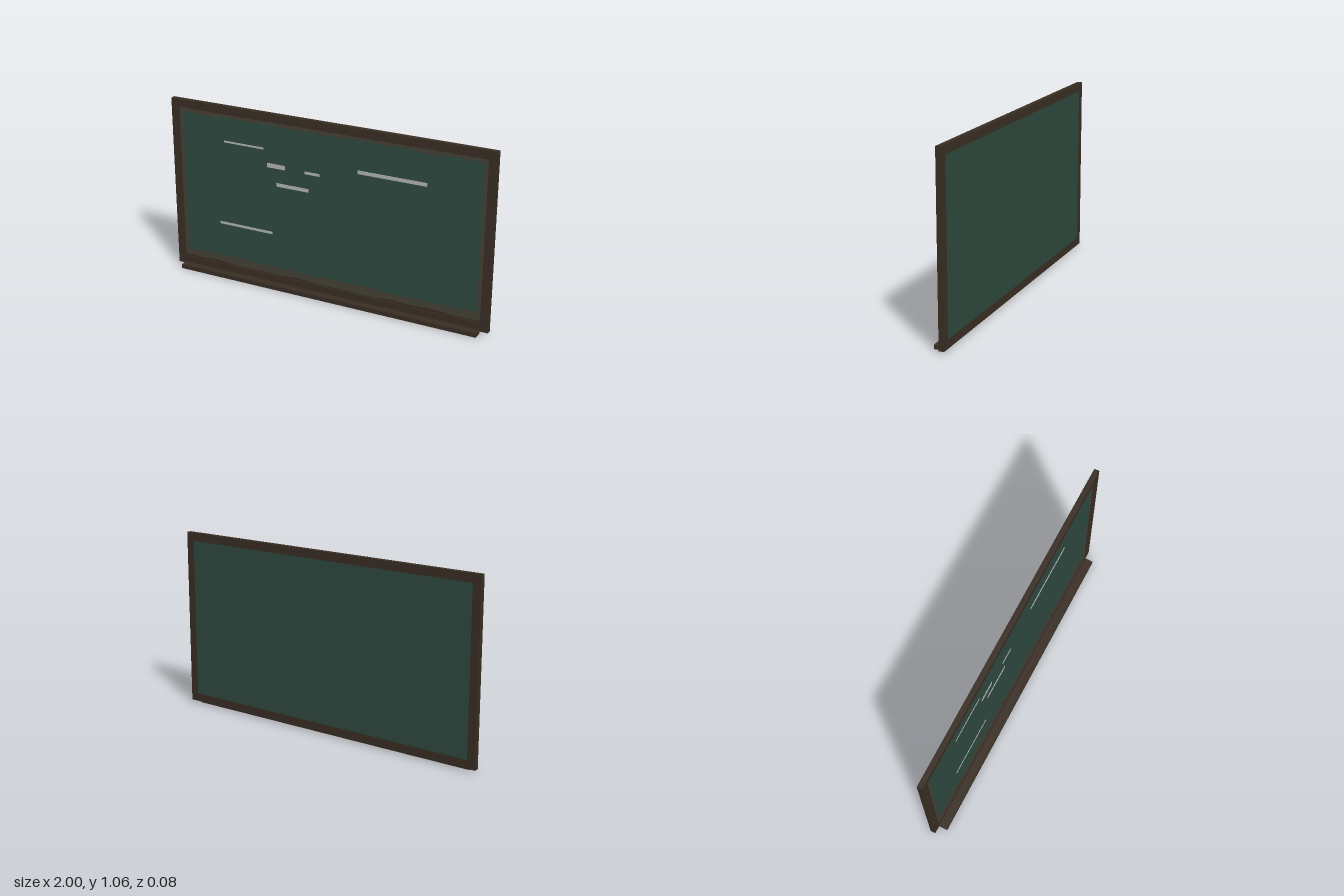
import * as THREE from 'three';

const mat = (name, color) => {
  const m = new THREE.MeshStandardMaterial({ color });
  m.name = name;
  return m;
};

// Closed outline of a rectangle
function rect(target, x0, y0, x1, y1) {
  target.moveTo(x0, y0);
  target.lineTo(x1, y0);
  target.lineTo(x1, y1);
  target.lineTo(x0, y1);
  target.closePath();
  return target;
}

// Small smooth irregularity for smeared edges
const wobble = (t, a) => a * (Math.sin(t * 9) * 0.5 + Math.sin(t * 23 + 1) * 0.5);

export function createModel() {
  const group = new THREE.Group();
  group.name = 'chalkboard';
  const wood = mat('dark wood', 0x382d23);
  const green = mat('board green', 0x2d483e);
  const dust = mat('dusty edge', 0x444035);
  const chalk = mat('chalk', 0xb0b2ae);

  const add = (name, geometry, material, x = 0, y = 0, z = 0) => {
    const mesh = new THREE.Mesh(geometry, material);
    mesh.name = name;
    mesh.position.set(x, y, z);
    group.add(mesh);
    return mesh;
  };

  // Wooden frame with a rectangular opening
  const outline = rect(new THREE.Shape(), -1, 0.015, 1, 1.06);
  outline.holes.push(rect(new THREE.Path(), -0.951, 0.064, 0.951, 1.011));
  add('frame', new THREE.ExtrudeGeometry(outline, { depth: 0.03, bevelEnabled: false }), wood, 0, 0, -0.04);

  // Writing panel, slightly recessed in front and almost flush behind
  add('panel', new THREE.BoxGeometry(1.902, 0.947, 0.02), green, 0, 0.5375, -0.029);

  // Chalk tray along the bottom
  add('tray', new THREE.BoxGeometry(1.9, 0.025, 0.055), wood, 0, 0.0125, 0.0125);

  // Dust smeared around the panel, with an uneven inner edge
  const smear = rect(new THREE.Shape(), -0.95, 0.065, 0.95, 1.01);
  const inner = [];
  const n = 40;
  for (let i = 0; i <= n; i++) {
    const x = -0.927 + (1.854 * i) / n;
    inner.push(new THREE.Vector2(x, 0.12 + wobble(x, 0.006)));
  }
  for (let i = n; i >= 0; i--) {
    const x = -0.927 + (1.854 * i) / n;
    inner.push(new THREE.Vector2(x, 0.988 + wobble(x + 2, 0.006)));
  }
  smear.holes.push(new THREE.Path(inner));
  add('dustBorder', new THREE.ShapeGeometry(smear), dust, 0, 0, -0.0175);

  // Dark uneven grime along the lower edge
  const grime = new THREE.Shape();
  grime.moveTo(-0.95, 0.064);
  grime.lineTo(0.95, 0.064);
  for (let i = n; i >= 0; i--) {
    const x = -0.95 + (1.9 * i) / n;
    grime.lineTo(x, 0.073 + Math.abs(x) * 0.005 + wobble(x + 1, 0.006));
  }
  add('lowerGrime', new THREE.ShapeGeometry(grime), wood, 0, 0, -0.016);

  // Chalk strokes: left, right, height on the board, thickness
  const strokes = [
    [-0.655, -0.393, 0.845, 0.011],
    [-0.37, -0.255, 0.75, 0.026],
    [-0.13, -0.035, 0.745, 0.016],
    [0.2, 0.612, 0.807, 0.021],
    [-0.312, -0.105, 0.64, 0.021],
    [-0.697, -0.345, 0.333, 0.015],
  ];
  strokes.forEach(([x0, x1, y, h], i) => {
    add(`chalkStroke${i + 1}`, new THREE.BoxGeometry(x1 - x0, h, 0.002), chalk, (x0 + x1) / 2, y, -0.0175);
  });

  return group;
}
